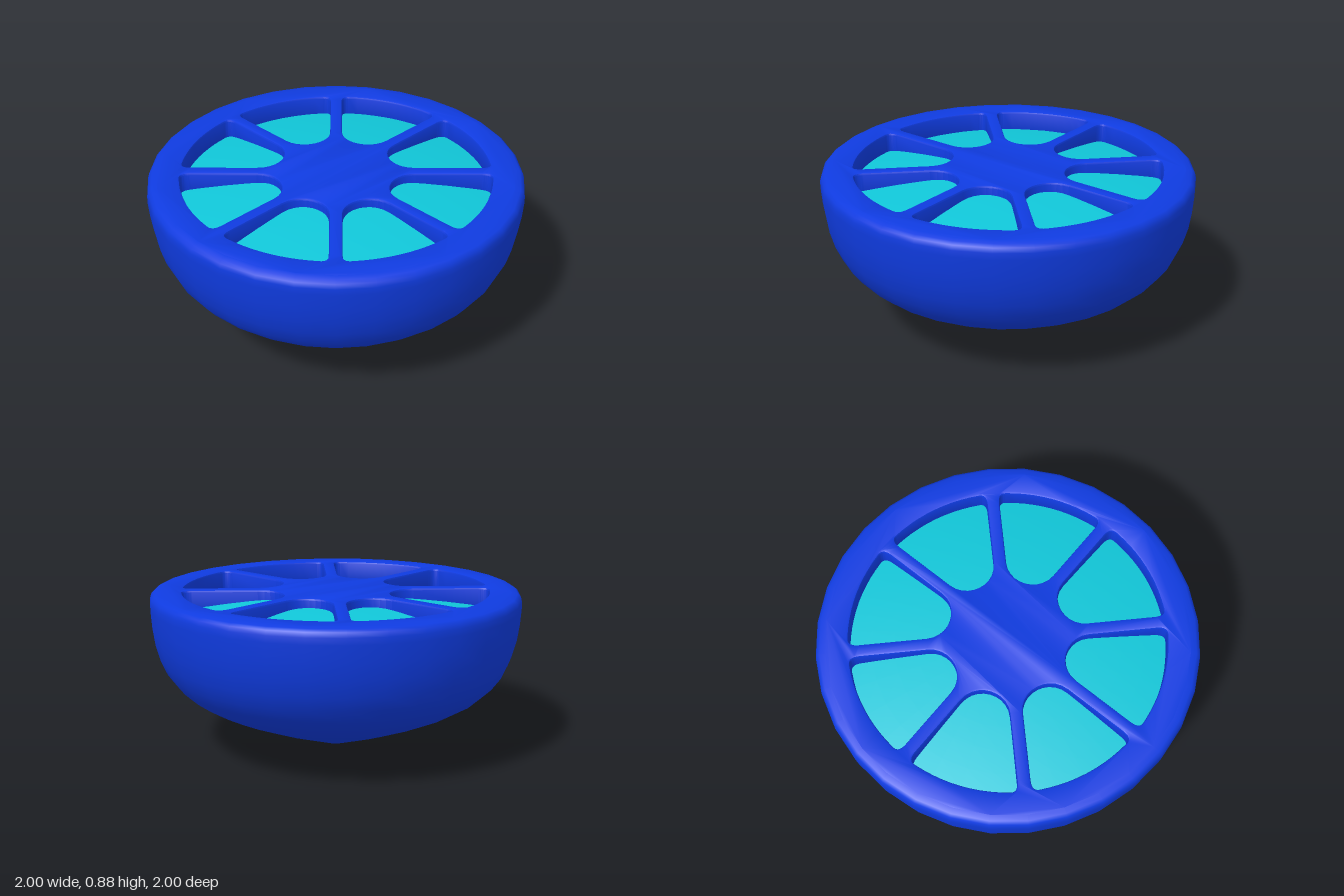
import * as THREE from 'three';
import { toCreasedNormals } from 'three/addons/utils/BufferGeometryUtils.js';

const SIDES = 32;
const TOP = 0.88;

function addPart(group, name, geometry, color) {
  const mesh = new THREE.Mesh(geometry, new THREE.MeshStandardMaterial({ color }));
  mesh.name = name;
  group.add(mesh);
}

// Rounded wedge opening lying along +x, turned to the given angle
function wedge(angle) {
  const s = new THREE.Shape();
  s.moveTo(0.396, 0.141);
  s.bezierCurveTo(0.272, 0.089, 0.272, -0.089, 0.396, -0.141);
  s.lineTo(0.72, -0.275);
  s.quadraticCurveTo(0.784, -0.301, 0.80, -0.25);
  s.quadraticCurveTo(0.876, 0, 0.80, 0.25);
  s.quadraticCurveTo(0.784, 0.301, 0.72, 0.275);
  s.closePath();
  const points = s.getPoints(10).map(p => p.rotateAround(new THREE.Vector2(), angle));
  return new THREE.Path(points);
}

export function createModel() {
  const group = new THREE.Group();
  group.name = 'citrusHalf';
  const blue = 0x0f3be0, cyan = 0x10c6d8;

  // Outer peel: bowl with a pointed base and a rounded rim
  const profile = [
    [0, 0], [0.03, 0.005], [0.08, 0.022], [0.2, 0.065], [0.4, 0.137], [0.6, 0.217],
    [0.7, 0.263], [0.8, 0.322], [0.87, 0.385], [0.92, 0.452], [0.955, 0.53], [0.98, 0.62],
    [0.993, 0.71], [1, 0.8], [0.999, 0.835], [0.992, 0.86], [0.975, 0.874], [0.945, TOP],
  ].map(([x, y]) => new THREE.Vector2(x, y));
  addPart(group, 'peel', new THREE.LatheGeometry(profile, SIDES), blue);

  // Cut face: rim, spokes and hub left between eight wedge openings
  const ring = [];
  for (let i = 0; i < SIDES; i++) {
    const a = i / SIDES * Math.PI * 2;
    ring.push(new THREE.Vector2(0.945 * Math.cos(a), 0.945 * Math.sin(a)));
  }
  const face = new THREE.Shape(ring);
  for (let i = 0; i < 8; i++) face.holes.push(wedge((i + 0.5) * Math.PI / 4));
  const bevel = 0.012, depth = 0.13;
  const faceGeometry = new THREE.ExtrudeGeometry(face, {
    depth: depth - 2 * bevel, bevelThickness: bevel, bevelSize: bevel, bevelSegments: 2,
  });
  faceGeometry.rotateX(-Math.PI / 2);
  faceGeometry.translate(0, TOP - depth + bevel, 0);
  addPart(group, 'segmentFrame', toCreasedNormals(faceGeometry, 0.4), blue);

  // Pulp: shallow dome seen through the openings
  const dome = [];
  for (let i = 8; i >= 0; i--) {
    const r = 0.95 * i / 8;
    dome.push(new THREE.Vector2(r, 0.84 - 0.1 * r * r));
  }
  addPart(group, 'pulp', new THREE.LatheGeometry(dome, SIDES), cyan);

  return group;
}
